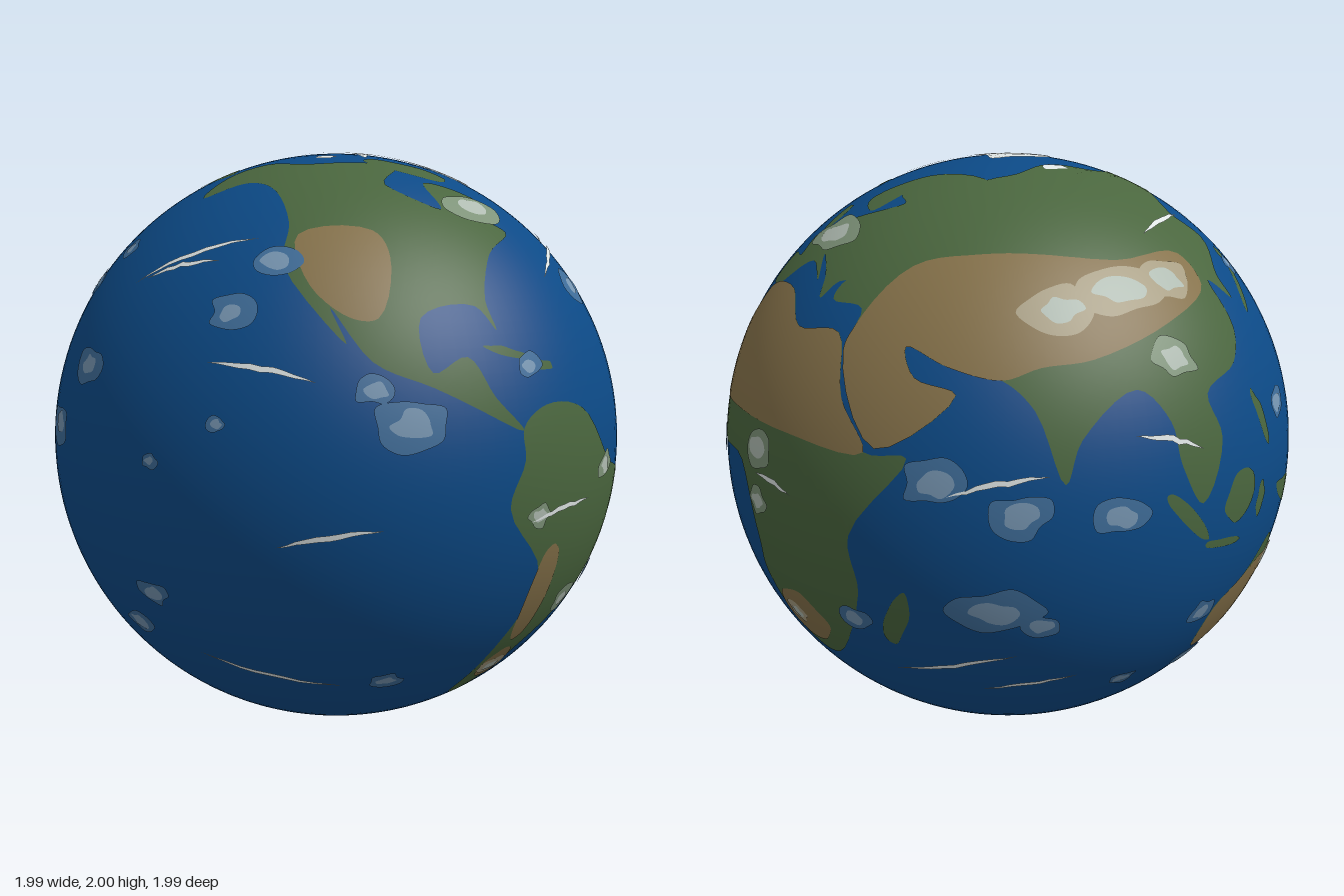
import * as THREE from 'three';

const mat = (name, color) => Object.assign(new THREE.MeshStandardMaterial({ color }), { name });
const ocean = mat('ocean blue', 0x0c4a87), land = mat('land green', 0x4a663e), desert = mat('desert tan', 0x86724a);
const ice = mat('ice white', 0xdfe5e4);
const seaMist = mat('thin cloud over sea', 0x3f6d99), seaCloud = mat('cloud over sea', 0x7796b2);
const landMist = mat('thin cloud over land', 0x7f947a), landCloud = mat('cloud over land', 0xb0bcb2);
const desertMist = mat('thin cloud over desert', 0xa89e82);

let seed = 7;
const rnd = () => (seed = (seed * 16807) % 2147483647) / 2147483647;

// Unit vector from longitude and latitude in degrees
const globe = (lon, lat) => new THREE.Vector3().setFromSphericalCoords(
  1, THREE.MathUtils.degToRad(90 - lat), THREE.MathUtils.degToRad(90 + lon));

// Smooth closed outline on the sphere through a few points
function smooth(points) {
  const out = new THREE.CatmullRomCurve3(points, true, 'centripetal').getPoints(points.length * 5);
  out.pop();
  return out.map(p => p.normalize());
}
const pairs = (flat, place) => Array.from({ length: flat.length / 2 }, (_, i) => place(flat[2 * i], flat[2 * i + 1]));
const outline = flat => smooth(pairs(flat, globe));

// Oval with a tilt from east and a lumpy rim
function oval(lon, lat, long, short, tilt, rough) {
  const c = globe(lon, lat), t = THREE.MathUtils.degToRad(tilt);
  const east = new THREE.Vector3(0, 1, 0).cross(c).normalize().applyAxisAngle(c, t), north = c.clone().cross(east);
  return smooth(Array.from({ length: 10 }, (_, k) => {
    const a = k * Math.PI / 5, r = 1 + rough * (rnd() - 0.5);
    return c.clone().addScaledVector(east, long * r * Math.cos(a)).addScaledVector(north, short * r * Math.sin(a));
  }));
}

// Thin tapered streak between two points
function streak(p, q) {
  const side = p.clone().cross(q).normalize(), top = [], under = [];
  for (let i = 0; i <= 10; i++) {
    const s = Math.sin(Math.PI * i / 10), m = p.clone().lerp(q, i / 10).normalize();
    m.addScaledVector(side, 0.01 * s + 0.01 * s * (rnd() - 0.5));
    top.push(m.clone().addScaledVector(side, 0.009 * s).normalize());
    if (i > 0 && i < 10) under.unshift(m.clone().addScaledVector(side, -0.009 * s).normalize());
  }
  return [...top, ...under];
}

// Curved patch: triangulate the outline on a tangent plane, split long edges, push to the radius
function patch(group, name, material, pts, radius) {
  const c = pts.reduce((s, p) => s.add(p), new THREE.Vector3()).normalize();
  const u = new THREE.Vector3(0, c.z, -c.y).normalize(), v = c.clone().cross(u);
  const flat = pts.map(p => new THREE.Vector2(p.dot(u), p.dot(v)).divideScalar(p.dot(c)));
  const pos = [], nor = [];
  const split = (a, b, d) => {
    const ab = a.distanceToSquared(b), bd = b.distanceToSquared(d), da = d.distanceToSquared(a);
    const longest = Math.max(ab, bd, da);
    if (longest < 0.0036) {
      for (const p of [a, b, d]) {
        pos.push(p.x * radius, p.y * radius, p.z * radius);
        nor.push(p.x, p.y, p.z);
      }
      return;
    }
    if (longest === bd) [a, b, d] = [b, d, a];
    else if (longest === da) [a, b, d] = [d, a, b];
    const mid = a.clone().add(b).normalize();
    split(a, mid, d);
    split(mid, b, d);
  };
  for (const [i, j, k] of THREE.ShapeUtils.triangulateShape(flat, [])) {
    const turn = flat[j].clone().sub(flat[i]).cross(flat[k].clone().sub(flat[i]));
    if (turn > 0) split(pts[i], pts[j], pts[k]);
    else split(pts[i], pts[k], pts[j]);
  }
  const g = new THREE.BufferGeometry();
  g.setAttribute('position', new THREE.Float32BufferAttribute(pos, 3));
  g.setAttribute('normal', new THREE.Float32BufferAttribute(nor, 3));
  const mesh = new THREE.Mesh(g, material);
  mesh.name = name;
  group.add(mesh);
}

// Coastlines as longitude, latitude pairs
const northAmerica = [-167, 66, -156, 71, -128, 70, -85, 70, -82, 67.5, -94, 60, -80, 52, -77, 61, -65, 59, -56, 52, -66, 49.5,
  -61, 46, -74, 40.5, -81, 31, -80.5, 25.5, -84, 30, -96, 28, -95, 18.5, -88, 21, -83.5, 14, -78, 8, -95, 16, -105.5, 20.5,
  -113, 30, -110, 23.5, -123, 38, -124, 48, -135, 59, -148, 61, -162, 56];
const southAmerica = [-78, 8.5, -72, 12, -61, 10.5, -50, 0, -35, -6, -40, -20, -48, -27, -62, -39, -69, -54.5, -74, -52,
  -73.5, -38, -70.5, -19, -81, -5, -78, 3];
const africa = [-17, 14.5, -16.5, 22, -9.5, 31, -6, 35.8, 10, 37.3, 20, 31, 32.5, 31.2, 37, 20.5, 43, 12, 51, 11.8, 40, -3,
  40.5, -14, 27, -33.5, 19.5, -34.5, 12, -18, 13.5, -10, 9, 4, -7.5, 4.4, -14, 9];
const europe = [-9, 37, -9, 43.3, -1.5, 43.7, -4, 48.4, 8, 54, 12, 55, 28, 60, 21.5, 62.5, 24, 65.5, 16, 57, 5, 60, 14, 68,
  26, 71, 60, 68, 60, 46, 40, 41, 26, 40.5, 22.5, 36.8, 20, 41, 13, 45.3, 18, 40, 10, 43.5, -1, 37];
const asia = [67, 25, 57, 27, 48.5, 30, 51, 25, 59, 22.5, 45, 12.8, 35, 28, 36, 36, 27, 37, 28, 41, 50, 44, 55, 68, 73, 72,
  104, 77, 135, 72, 160, 70, 179, 69.5, 190, 66, 178, 62.5, 164, 60, 157, 51.5, 160, 61, 136, 55, 140, 48, 128, 40, 128, 35,
  122, 39.5, 122, 30, 117, 24, 107, 20, 109, 12, 103.5, 1.5, 99, 9, 97.5, 16.5, 91.5, 22.5, 80.5, 15, 77.5, 8, 72.7, 20];
const australia = [114, -23, 122, -18, 131, -12, 137, -16, 142.5, -11, 147, -20, 153, -28, 148, -38, 140, -37.5, 131, -31.5, 116, -35];

// Islands as ovals: longitude, latitude, half length, half width, tilt
const islands = [[-3, 54, 0.07, 0.03, 105], [-19, 65, 0.04, 0.025, 0], [137.5, 36.5, 0.11, 0.018, 50], [143, 43.5, 0.03, 0.025, 0],
  [122.5, 13, 0.1, 0.022, 110], [100.5, -0.5, 0.13, 0.024, -45], [110, -7.3, 0.09, 0.014, -8], [114, 0.5, 0.09, 0.07, 45],
  [121, -2, 0.06, 0.025, 80], [140.5, -5.5, 0.19, 0.045, -20], [47, -19, 0.12, 0.038, 68], [173, -41, 0.12, 0.025, 55],
  [-79, 21.5, 0.08, 0.014, -15], [-71, 18.8, 0.045, 0.016, 0], [-72, 68, 0.14, 0.06, -45]];

// Deserts share the coast where they reach it
const dryLands = [
  [...africa.slice(0, 18), 25, 12.5, 5, 13, -10, 12.5],
  [...asia.slice(0, 14), 36, 33, 45, 45, 62, 48, 95, 46, 117, 46, 118, 39, 102, 33, 84, 28, 74, 27],
  [-121, 45, -103, 46, -100, 40, -104, 28, -109, 28, -117, 34],
  [...australia.slice(0, 4), 128, -16, 137, -17.5, 148, -21, 152.5, -27, 147, -34, ...australia.slice(-6)]];
const dryOvals = [[-68.3, -24, 0.2, 0.055, 90], [-68, -42.5, 0.085, 0.06, 90], [21.5, -25, 0.12, 0.11, 0]];

const southIce = [0, -70, 28, -70, 55, -68, 100, -66.5, 135, -66.5, 160, -70, 185, -74.5, 235, -74, 290, -71, 325, -74];
// Northern ice as x, z seen from above
const northIce = [-0.13, 0.03, -0.1, -0.11, 0.02, -0.11, 0.1, -0.11, 0.09, -0.02, 0.13, 0.07, 0.3, 0.11, 0.35, 0.33, 0.25, 0.31,
  0.12, 0.19, 0.05, 0.18, 0, 0.26, -0.01, 0.12];
const floes = [[-119, 75.5, 0.035, 0.025, 0], [103, 75, 0.05, 0.025, 0]];

// Clouds: longitude, latitude, half width
const seaClouds = [[-132, 29, 0.07], [-99, 10, 0.11], [-105, 16, 0.06], [-125, 39, 0.07], [-132, 10, 0.03], [-145, 3, 0.03],
  [-149, -22, 0.06], [-159, -31, 0.07], [-100, -41, 0.05], [-75, 19, 0.05], [-44, 33, 0.08], [-44, -24, 0.06], [-16, 22, 0.08],
  [-13, 3.5, 0.15], [38, -20, 0.06], [10, -48, 0.05], [-16, -53, 0.06], [56, 8, 0.09], [70, 3, 0.09], [66, -15, 0.13],
  [74, -18, 0.06], [95, -37, 0.05], [87, 2, 0.08], [109, -22, 0.06], [117, -38, 0.07], [131, 14, 0.07], [150, 2, 0.08],
  [165, -2, 0.05], [161, -17, 0.06], [142, 41, 0.05], [175, 34, 0.06], [184, 42, 0.05], [194, 18, 0.08], [183, 6, 0.09]];
const landClouds = [[-66, 53, 0.11], [-52, -1, 0.06], [-74, -7, 0.05], [-55, -28, 0.07], [9, 50, 0.12], [16, 8, 0.08],
  [16, -2, 0.06], [101, 27, 0.08]];
const desertClouds = [[79, 37, 0.11], [93, 40, 0.14], [107, 41, 0.11], [19, -25, 0.05], [-68, -43, 0.06], [134, -18, 0.07]];

// Wisps from one longitude, latitude to another
const wisps = [[-160, 34, -130, 44], [-157, 35, -138, 39], [-135, 20, -115, 17], [-122, -10, -104, -7], [-76, -8, -59, -6],
  [-143, -35, -110, -42], [-59, 35, -29, 43], [-44, 43, -23, 46], [-35, 16, -15, 13], [-34, -21, -10, -27], [-23, -44, 9, -41],
  [-4, -50, 29, -49], [16, 3.4, 27, 1.7], [44, -32, 70, -25], [62, -36, 83, -32], [58, 6, 75, 9.5], [90, 15, 104, 11],
  [109, 51, 138, 54], [151, 25, 179, 36]];

export function createModel() {
  const model = new THREE.Group();
  model.name = 'globe';
  const part = name => {
    const g = new THREE.Group();
    g.name = name;
    g.position.y = 1;
    model.add(g);
    return g;
  };
  const water = new THREE.Mesh(new THREE.SphereGeometry(0.994, 128, 80), ocean);
  water.name = 'ocean';
  part('water').add(water);

  const lands = part('continents');
  Object.entries({ northAmerica, southAmerica, africa, europe, asia, australia })
    .forEach(([name, line]) => patch(lands, name, land, outline(line), 0.9957));
  islands.forEach(o => patch(lands, 'island', land, oval(...o, 0.3), 0.9957));
  dryLands.forEach(line => patch(lands, 'desert', desert, outline(line), 0.9972));
  dryOvals.forEach(o => patch(lands, 'desert', desert, oval(...o, 0.2), 0.9972));

  const caps = part('polarIce');
  patch(caps, 'southIce', ice, outline(southIce), 0.998);
  const fromAbove = (x, z) => new THREE.Vector3(x, Math.sqrt(1 - x * x - z * z), z);
  patch(caps, 'northIce', ice, smooth(pairs(northIce, fromAbove)), 0.998);
  floes.forEach(o => patch(caps, 'iceFloe', ice, oval(...o, 0.5), 0.998));

  // Each cloud is a thin rim with a denser core
  const sky = part('clouds');
  for (const [list, rim, core] of [[seaClouds, seaMist, seaCloud], [landClouds, landMist, landCloud], [desertClouds, desertMist, landCloud]]) {
    for (const [lon, lat, w] of list) {
      const h = Math.min(w * 0.75, 0.075);
      patch(sky, 'cloudRim', rim, oval(lon, lat, w, h, 0, 0.5), 0.9988);
      patch(sky, 'cloudCore', core, oval(lon, lat, w * 0.55, h * 0.55, 0, 0.5), 0.9996);
    }
  }
  for (const [a, b, c, d] of wisps) patch(sky, 'wisp', ice, streak(globe(a, b), globe(c, d)), 1);
  return model;
}
